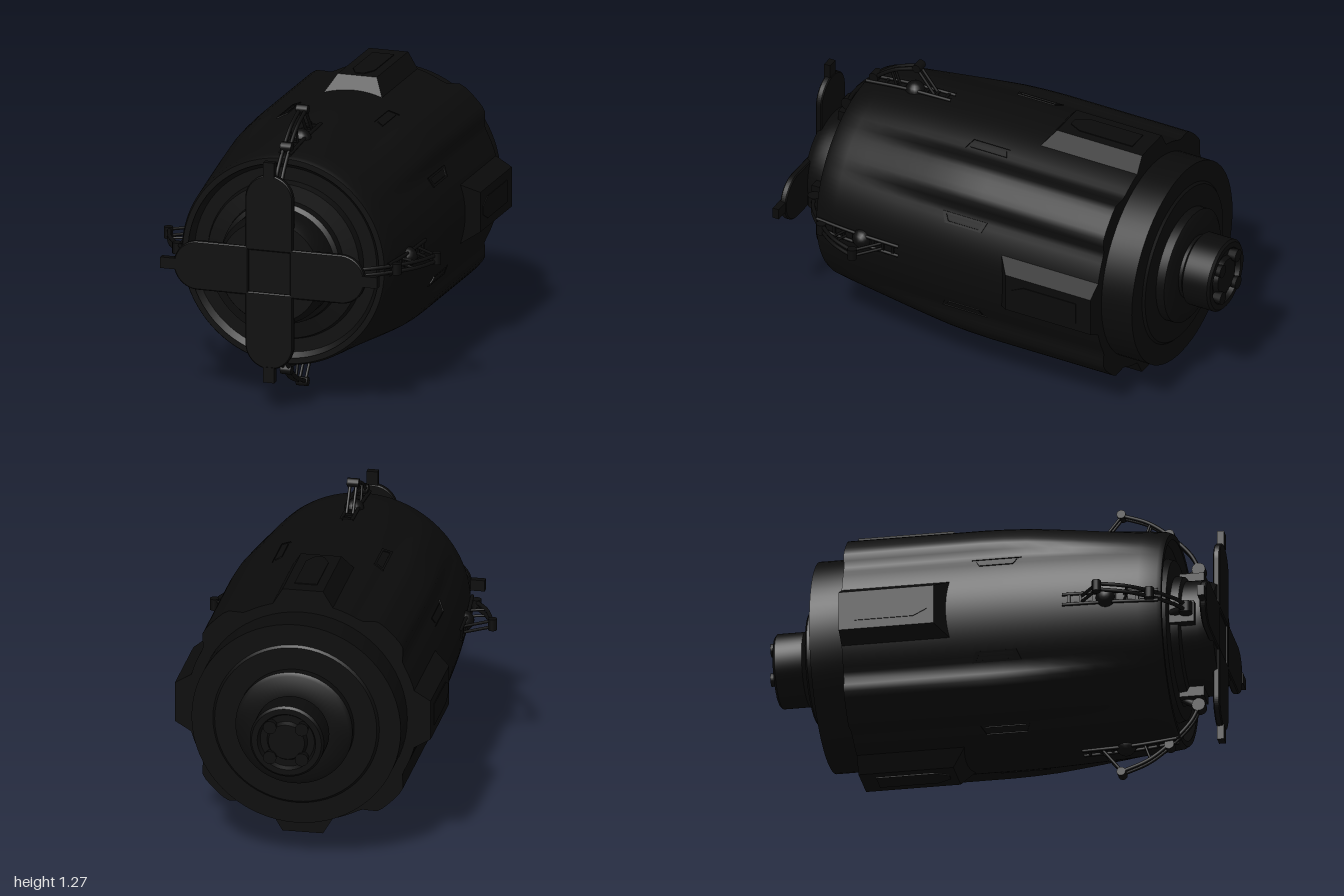
import * as THREE from 'three';
import { toCreasedNormals } from 'three/addons/utils/BufferGeometryUtils.js';

export function createModel() {
  const black = new THREE.MeshStandardMaterial({ color: 0x0b0b0b });
  black.name = 'matte black';
  const model = new THREE.Group();
  const core = new THREE.Group();
  core.name = 'engineModule';
  core.position.y = 0.645;
  model.add(core);

  const add = (parent, name, geo, x = 0, y = 0, z = 0) => {
    const mesh = new THREE.Mesh(geo, black);
    mesh.name = name;
    mesh.position.set(x, y, z);
    parent.add(mesh);
    return mesh;
  };
  // Turned part along z; points are [radius, z] in ascending z
  const turned = (pts, sides = 64) => toCreasedNormals(
    new THREE.LatheGeometry(pts.map(p => new THREE.Vector2(...p)), sides).rotateX(Math.PI / 2), 0.6);
  const tube = (pts, r, n = 20) => new THREE.TubeGeometry(
    new THREE.CatmullRomCurve3(pts.map(p => new THREE.Vector3(...p))), n, r, 8);
  const extrude = (shape, depth, bevel = 0) => new THREE.ExtrudeGeometry(shape, {
    depth, bevelEnabled: bevel > 0, bevelSize: bevel, bevelThickness: bevel, bevelSegments: 1, curveSegments: 20 });

  // Hull: rings of [z, radius, swelling of the four diagonal shoulders]
  const rings = [[0.8, 0.44, 0], [0.8, 0.465, 0], [0.78, 0.475, 0], [0.7, 0.484, 0.003], [0.6, 0.492, 0.008],
    [0.5, 0.499, 0.014], [0.4, 0.504, 0.022], [0.3, 0.508, 0.03], [0.2, 0.512, 0.037], [0.1, 0.513, 0.042],
    [0, 0.513, 0.045], [-0.61, 0.513, 0.045], [-0.61, 0.44, 0]];
  const N = 128, pos = [], idx = [];
  rings.forEach(([z, r, swell], i) => {
    for (let j = 0; j < N; j++) {
      const t = j / N * Math.PI * 2;
      const off = Math.abs((t % (Math.PI / 2)) - Math.PI / 4);
      const k = 1 - THREE.MathUtils.smoothstep(off, 0.12, 0.27);
      const R = r + swell * k;
      pos.push(R * Math.cos(t), R * Math.sin(t), z);
      if (i < rings.length - 1) {
        const a = i * N + j, b = i * N + (j + 1) % N;
        idx.push(a, a + N, b, b, a + N, b + N);
      }
    }
  });
  const hull = new THREE.BufferGeometry();
  hull.setAttribute('position', new THREE.Float32BufferAttribute(pos, 3));
  hull.setIndex(idx);
  add(core, 'hull', toCreasedNormals(hull, 0.6));

  // Stepped rear section and tail plug
  add(core, 'rearSteps', turned([[0, -0.98], [0.08, -0.98], [0.09, -0.96], [0.12, -0.96], [0.13, -0.98],
    [0.155, -0.98], [0.165, -0.97], [0.165, -0.85], [0.145, -0.835], [0.145, -0.82], [0.245, -0.82], [0.26, -0.81],
    [0.26, -0.77], [0.36, -0.77], [0.37, -0.76], [0.465, -0.76], [0.465, -0.6]]));
  for (let i = 0; i < 4; i++) {
    const t = Math.PI / 4 + i * Math.PI / 2;
    add(core, 'tailStud', new THREE.CylinderGeometry(0.025, 0.03, 0.04, 12).rotateX(Math.PI / 2),
      0.1 * Math.cos(t), 0.1 * Math.sin(t), -0.98);
  }

  // Front dish and docking neck
  add(core, 'frontNeck', turned([[0.45, 0.8], [0.42, 0.77], [0.36, 0.77], [0.35, 0.8], [0.28, 0.805],
    [0.275, 0.84], [0.255, 0.85], [0.255, 0.92], [0.24, 0.965], [0.23, 0.985], [0, 0.985]]));

  // Docking petal outline
  const petal = new THREE.Shape();
  petal.moveTo(-0.105, 0.1);
  petal.lineTo(0.105, 0.1);
  petal.lineTo(0.105, 0.33);
  petal.absarc(0, 0.33, 0.105, 0, Math.PI, false);
  petal.closePath();

  // Pointed access hatch outline
  const hatch = new THREE.Shape();
  [[-0.05, -0.16], [0.05, -0.16], [0.05, 0.1], [0.02, 0.16], [-0.02, 0.16], [-0.05, 0.1]]
    .forEach(([x, y], i) => i ? hatch.lineTo(x, y) : hatch.moveTo(x, y));

  // Slot frame outline
  const frame = new THREE.Shape();
  frame.moveTo(-0.025, -0.11); frame.lineTo(0.025, -0.09); frame.lineTo(0.025, 0.09); frame.lineTo(-0.025, 0.11);
  const hole = new THREE.Path();
  hole.moveTo(-0.015, -0.09); hole.lineTo(-0.015, 0.09); hole.lineTo(0.015, 0.075); hole.lineTo(0.015, -0.075);
  frame.holes.push(hole);

  // Four identical quadrants, each built pointing up
  for (let q = 0; q < 4; q++) {
    const quad = new THREE.Group();
    quad.name = 'quadrant' + (q + 1);
    quad.rotation.z = q * Math.PI / 2;
    core.add(quad);

    // Tapered fairing
    const fair = new THREE.BoxGeometry(0.3, 0.1, 0.5);
    const p = fair.attributes.position;
    for (let i = 0; i < p.count; i++) if (p.getY(i) > 0) {
      p.setX(i, p.getX(i) * 0.6);
      if (p.getZ(i) > 0) p.setZ(i, 0.17);
    }
    fair.computeVertexNormals();
    add(quad, 'fairing', fair, 0, 0.518, -0.36);
    add(quad, 'fairingHatch', extrude(hatch, 0.006).rotateX(Math.PI / 2), 0, 0.572, -0.38);

    // Petal with tip block
    add(quad, 'dockingPetal', extrude(petal, 0.02, 0.005), 0, 0, 0.97);
    add(quad, 'petalTip', new THREE.BoxGeometry(0.05, 0.07, 0.03), 0, 0.465, 0.983);
    add(quad, 'petalHinge', new THREE.BoxGeometry(0.1, 0.06, 0.11), 0, 0.265, 0.86);

    // Slots either side of the fairing line
    for (const s of [-1, 1]) {
      const mount = new THREE.Group();
      mount.name = 'slotMount';
      mount.rotation.z = s * 0.45;
      quad.add(mount);
      add(mount, 'slotFrame', extrude(frame, 0.008).rotateX(Math.PI / 2).scale(s, 1, 1).rotateY(0), 0, 0.517, 0.07)
        .material = black;
    }

    // Guide rail on the hull
    for (const s of [-1, 1])
      add(quad, 'guideRail', tube([[s * 0.024, 0.507, 0.37], [s * 0.024, 0.499, 0.6], [s * 0.024, 0.48, 0.79]], 0.008));
    for (let i = 0; i < 8; i++)
      add(quad, 'railRung', new THREE.BoxGeometry(0.05, 0.012, 0.012), 0, 0.505 - i * 0.003, 0.4 + i * 0.05);
    add(quad, 'railBoss', new THREE.SphereGeometry(0.045, 16, 10), 0, 0.488, 0.56);

    // Latch arm: curved bow, braces, joints
    const bow = [[0, 0.32, 0.89], [0, 0.4, 0.85], [0, 0.5, 0.755], [0, 0.57, 0.66], [0, 0.615, 0.545]];
    for (const s of [-1, 1]) {
      const x = s * 0.014;
      add(quad, 'latchBow', tube(bow.map(([, y, z]) => [x, y, z]), 0.009, 28));
      add(quad, 'latchBrace', tube([[x, 0.615, 0.545], [x, 0.5, 0.455]], 0.007, 2));
      add(quad, 'latchStrut', tube([[x, 0.565, 0.67], [x, 0.48, 0.64]], 0.006, 2));
    }
    for (const [y, z, r, w] of [[0.618, 0.542, 0.02, 0.052], [0.505, 0.755, 0.022, 0.05], [0.325, 0.885, 0.03, 0.05]])
      add(quad, 'latchJoint', new THREE.CylinderGeometry(r, r, w, 14).rotateZ(Math.PI / 2), 0, y, z);
    add(quad, 'latchFoot', tube([[0, 0.325, 0.885], [0, 0.28, 0.81]], 0.018, 2));
  }
  return model;
}
